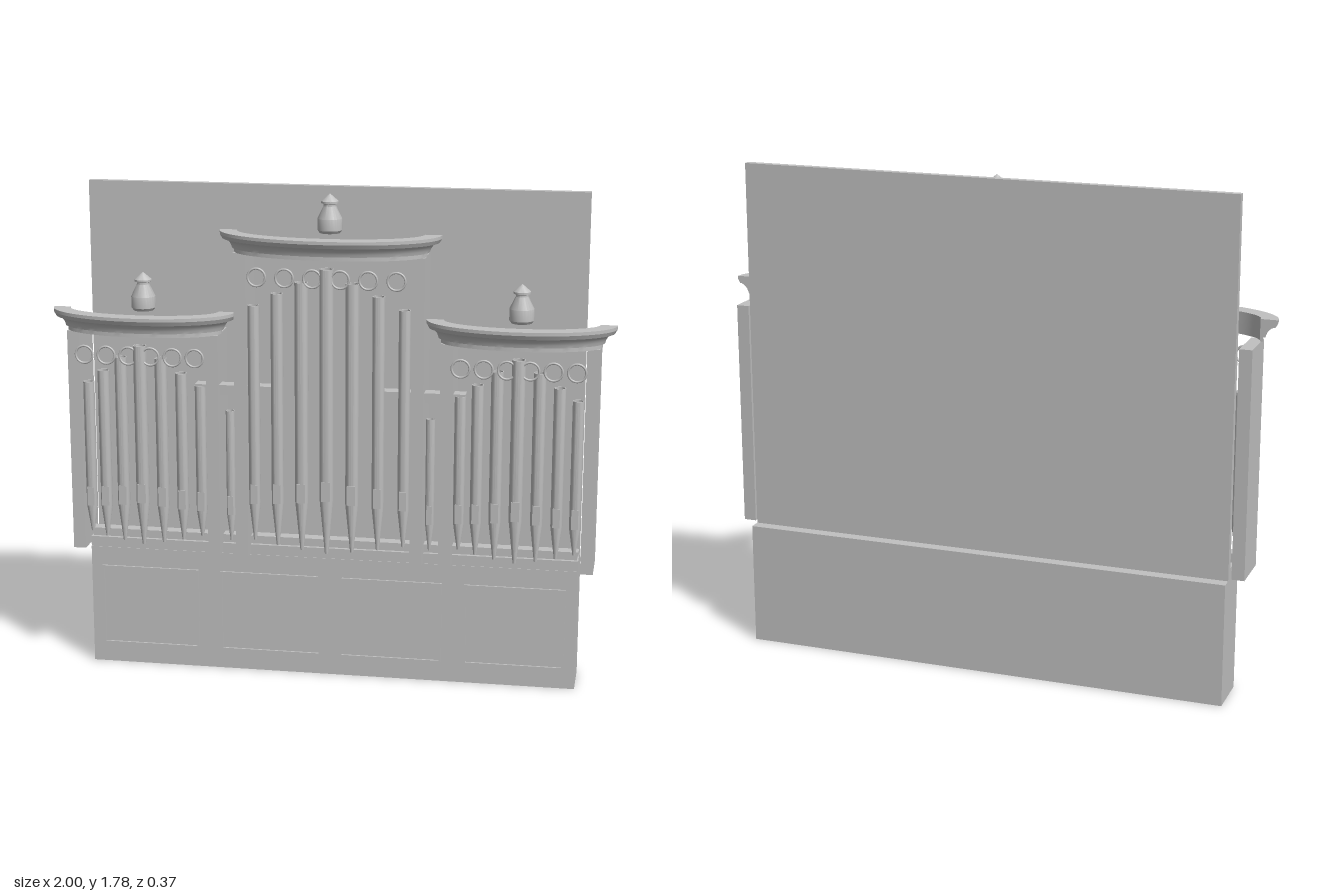
import * as THREE from 'three';
import { toCreasedNormals } from 'three/addons/utils/BufferGeometryUtils.js';

const stone = new THREE.MeshStandardMaterial({ color: 0xc0c0c0 });
stone.name = 'pale grey';

export function createModel() {
  const model = new THREE.Group();
  model.name = 'pipeOrgan';

  const add = (parent, name, geometry) => {
    const mesh = new THREE.Mesh(geometry, stone);
    mesh.name = name;
    parent.add(mesh);
    return mesh;
  };
  // Box given by its minimum and maximum on each axis
  const box = (parent, name, x0, x1, y0, y1, z0, z1) =>
    add(parent, name, new THREE.BoxGeometry(x1 - x0, y1 - y0, z1 - z0))
      .position.set((x0 + x1) / 2, (y0 + y1) / 2, (z0 + z1) / 2);

  // Plinth and tall back board
  box(model, 'plinth', -0.89, 0.89, 0, 0.445, -0.187, -0.01);
  box(model, 'backBoard', -0.89, 0.89, 0.445, 1.78, -0.145, -0.118);

  // Stepped rail below the pipes
  box(model, 'railLower', -0.89, 0.89, 0.445, 0.483, -0.118, -0.012);
  box(model, 'railGroove', -0.885, 0.885, 0.483, 0.5, -0.06, -0.025);
  box(model, 'railUpper', -0.89, 0.89, 0.5, 0.515, -0.06, -0.016);

  // Moulded frames on the plinth; the two middle ones are open towards the centre
  const frame = (x0, x1, sides) => {
    const g = new THREE.Group();
    g.name = 'plinthFrame';
    model.add(g);
    const w = 0.008, z0 = -0.012, z1 = -0.003;
    box(g, 'frameTop', x0, x1, 0.367, 0.375, z0, z1);
    box(g, 'frameBottom', x0, x1, 0.072, 0.08, z0, z1);
    if (sides.includes('a')) box(g, 'frameSide', x0, x0 + w, 0.08, 0.367, z0, z1);
    if (sides.includes('b')) box(g, 'frameSide', x1 - w, x1, 0.08, 0.367, z0, z1);
  };
  frame(-0.85, -0.487, 'ab');
  frame(-0.407, -0.043, 'a');
  frame(0.043, 0.407, 'b');
  frame(0.487, 0.85, 'ab');

  // Organ pipe: conical foot, cylindrical body and a small mouth plate
  const pipe = (parent, x, z, r, bottom, footTop, top) => {
    const g = new THREE.Group();
    g.name = 'pipe';
    g.position.set(x, 0, z);
    parent.add(g);
    const profile = [[0, bottom], [r * 0.25, bottom], [r, footTop], [r, top], [r * 0.85, top], [r * 0.85, top - 0.03], [0, top - 0.03]]
      .map(([px, py]) => new THREE.Vector2(px, py));
    add(g, 'pipeBody', toCreasedNormals(new THREE.LatheGeometry(profile, 20), 0.6));
    box(g, 'pipeMouth', -r * 0.6, r * 0.6, footTop, footTop + 0.07, r * 0.78, r + 0.002);
  };

  // Moulding profile bent around a half ellipse
  const cornice = (parent, a, b, y, h) => {
    const shape = new THREE.Shape();
    shape.moveTo(0, 0);
    shape.lineTo(0.01, 0);
    shape.lineTo(0.01, h * 0.2);
    shape.lineTo(0.018, h * 0.2);
    shape.quadraticCurveTo(0.024, h * 0.55, 0.046, h * 0.66);
    shape.lineTo(0.052, h * 0.66);
    shape.lineTo(0.06, h * 0.85);
    shape.lineTo(0.06, h);
    shape.lineTo(0, h);
    shape.closePath();
    const geo = new THREE.ExtrudeGeometry(shape, { depth: Math.PI, steps: 40, bevelEnabled: false, curveSegments: 5 });
    const p = geo.attributes.position;
    for (let i = 0; i < p.count; i++) {
      const o = p.getX(i), t = p.getZ(i);
      p.setXYZ(i, (a + o) * Math.cos(t), y + p.getY(i), -0.015 + (b + o) * Math.sin(t));
    }
    add(parent, 'curvedCornice', toCreasedNormals(geo, 0.4));
  };

  // Turned urn-shaped finial
  const finialProfile = [[0, 0], [0.036, 0], [0.043, 0.01], [0.043, 0.05], [0.022, 0.093], [0.022, 0.1], [0.03, 0.103], [0.03, 0.11], [0.01, 0.128], [0, 0.136]]
    .map(([x, y]) => new THREE.Vector2(x, y));

  // Tower: two posts, cornice, finial, ring frieze and seven pipes
  const tower = (o) => {
    const g = new THREE.Group();
    g.name = o.name;
    g.position.x = o.x;
    model.add(g);
    for (const s of [-1, 1]) {
      const c = s * o.post;
      box(g, 'post', c - 0.0225, c + 0.0225, 0.45, o.y, -0.138, 0.03);
    }
    cornice(g, o.a, o.b, o.y, o.h);
    add(g, 'finial', toCreasedNormals(new THREE.LatheGeometry(finialProfile, 24), 0.5))
      .position.set(0, o.y + o.h, -0.005);
    for (let i = 0; i < 6; i++) {
      add(g, 'friezeRing', new THREE.TorusGeometry(0.031, 0.004, 8, 28))
        .position.set((i - 2.5) * o.ringGap, o.ringY, 0.076);
    }
    o.pipes.forEach(([x, z, top, r], i) => {
      for (const s of i ? [-1, 1] : [1]) {
        pipe(g, s * x, z, r, 0.49 + i * 0.008, o.footTop - i * 0.012, top);
      }
    });
  };

  tower({
    name: 'centreTower', x: 0, post: 0.315, a: 0.33, b: 0.14, y: 1.56, h: 0.075,
    ringGap: 0.098, ringY: 1.485, footTop: 0.69,
    pipes: [[0, 0.066, 1.52, 0.025], [0.09, 0.06, 1.47, 0.024], [0.18, 0.044, 1.425, 0.022], [0.268, 0.02, 1.375, 0.021]],
  });
  for (const s of [-1, 1]) {
    tower({
      name: s > 0 ? 'leftTower' : 'rightTower', x: s * 0.67, post: 0.252, a: 0.27, b: 0.11, y: 1.262, h: 0.078,
      ringGap: 0.08, ringY: 1.188, footTop: 0.65,
      pipes: [[0, 0.064, 1.225, 0.024], [0.073, 0.056, 1.18, 0.022], [0.142, 0.04, 1.125, 0.021], [0.205, 0.012, 1.075, 0.02]],
    });

    // Narrow bay between the towers with its own small cornice
    const bay = new THREE.Group();
    bay.name = 'linkingBay';
    bay.position.x = s * 0.335;
    model.add(bay);
    box(bay, 'bayCorniceLower', -0.135, 0.135, 1.042, 1.058, -0.03, 0.005);
    box(bay, 'bayCorniceMiddle', -0.142, 0.142, 1.058, 1.07, -0.03, 0.012);
    box(bay, 'bayCorniceUpper', -0.148, 0.148, 1.07, 1.082, -0.03, 0.02);
    pipe(bay, s * 0.025, 0, 0.016, 0.5, 0.6, 0.985);
  }

  return model;
}
